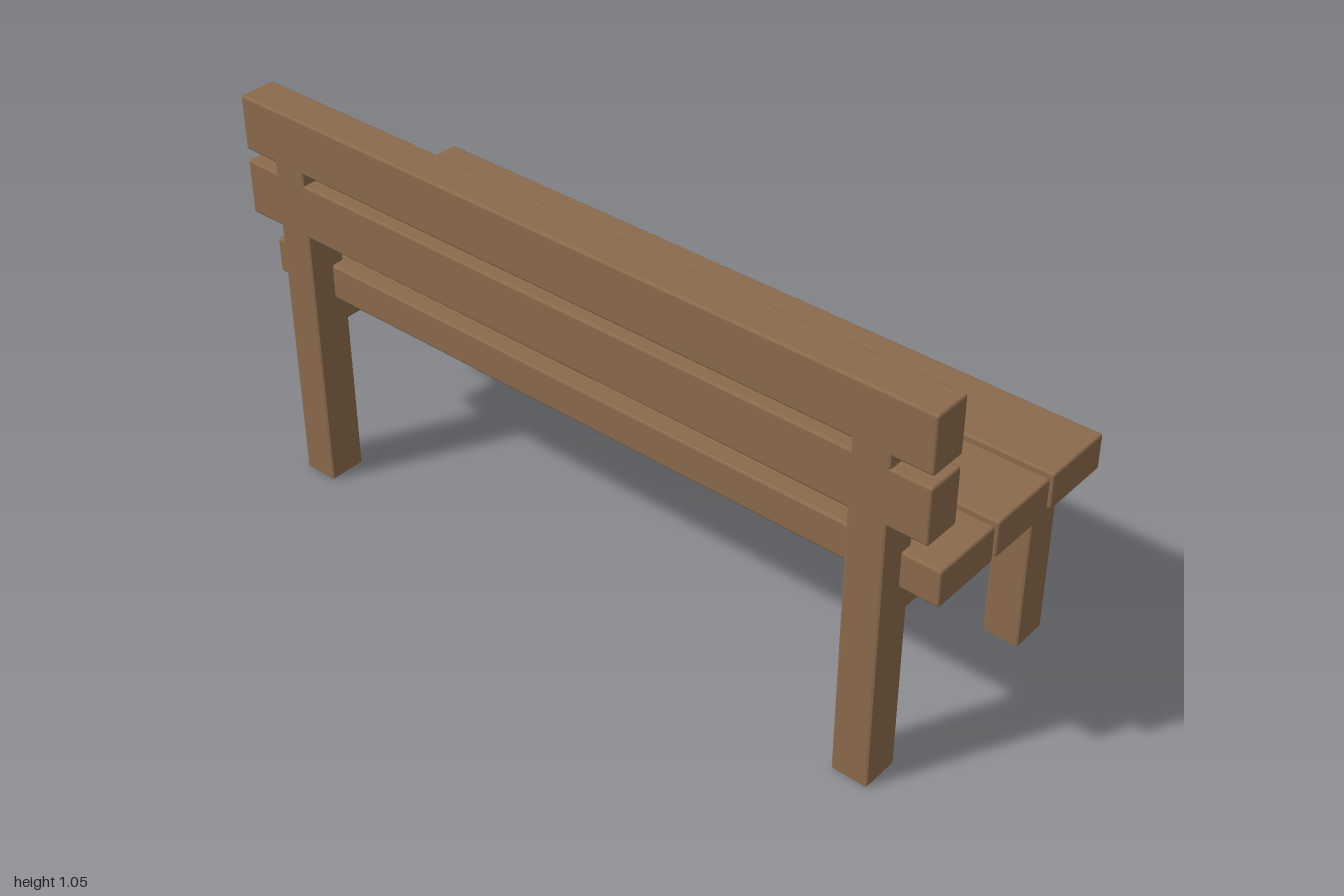
import * as THREE from 'three';
import { RoundedBoxGeometry } from 'three/addons/geometries/RoundedBoxGeometry.js';

const BEVEL = 0.007;

export function createModel() {
  const bench = new THREE.Group();
  bench.name = 'bench';
  const wood = new THREE.MeshStandardMaterial({ color: 0x8b6a4c });
  wood.name = 'brown wood';

  // Full-width planks with softened edges
  function plank(name, height, depth, y, z) {
    const mesh = new THREE.Mesh(new RoundedBoxGeometry(2, height, depth, 2, BEVEL), wood);
    mesh.name = name;
    mesh.position.set(0, y, z);
    bench.add(mesh);
  }
  [0.188, -0.024, -0.237].forEach((z, i) => plank(`seatPlank${i + 1}`, 0.096, 0.198, 0.577, z));
  [0.802, 0.977].forEach((y, i) => plank(`backrestPlank${i + 1}`, 0.146, 0.1, y, 0.3));

  // Side frame: tall back post, seat rail and short leg in one piece (profile in z, y)
  const profile = new THREE.Shape([
    [0.35, 0], [0.35, 0.96], [0.25, 0.96], [0.25, 0.525], [-0.35, 0.525],
    [-0.35, 0], [-0.25, 0], [-0.25, 0.453], [0.25, 0.453], [0.25, 0],
  ].map(([z, y]) => new THREE.Vector2(z, y)));
  const frame = new THREE.ExtrudeGeometry(profile, {
    depth: 0.1 - 2 * BEVEL, bevelEnabled: true, bevelThickness: BEVEL,
    bevelSize: BEVEL, bevelOffset: -BEVEL, bevelSegments: 2,
  });
  frame.translate(0, 0, -0.05 + BEVEL);
  frame.rotateY(-Math.PI / 2);

  for (const side of [-1, 1]) {
    const mesh = new THREE.Mesh(frame, wood);
    mesh.name = side > 0 ? 'leftFrame' : 'rightFrame';
    mesh.position.x = side * 0.85;
    bench.add(mesh);
  }
  return bench;
}
